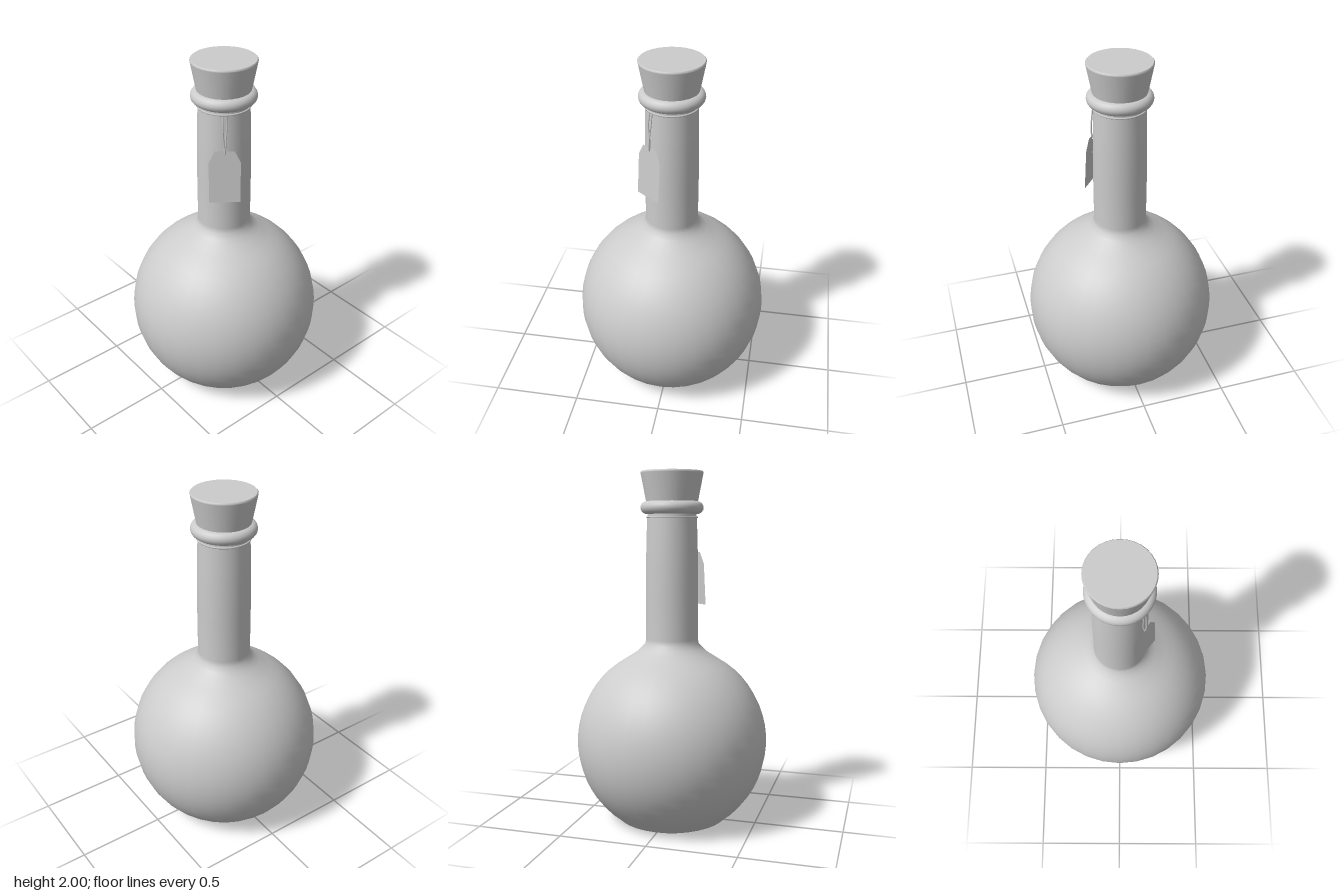
import * as THREE from 'three';

const SEGMENTS = 32;
const grey = new THREE.MeshStandardMaterial({ color: 0xcccccc });
const thin = new THREE.MeshStandardMaterial({ color: 0xcccccc, side: THREE.DoubleSide });
const red = new THREE.MeshStandardMaterial({ color: 0x8f1f17 });

// Repeating a point in a profile keeps that edge sharp.
function lathe(name, points, material = grey) {
  const profile = points.map(([r, y]) => new THREE.Vector2(r, y));
  const mesh = new THREE.Mesh(new THREE.LatheGeometry(profile, SEGMENTS), material);
  mesh.name = name;
  return mesh;
}

// Profile points on a sphere centred at y = 0.46, between two heights
function bulb(radius, y0, y1, steps) {
  const a0 = Math.asin((y0 - 0.46) / radius);
  const a1 = Math.asin((y1 - 0.46) / radius);
  return Array.from({ length: steps + 1 }, (_, i) => {
    const a = a0 + ((a1 - a0) * i) / steps;
    return [radius * Math.cos(a), 0.46 + radius * Math.sin(a)];
  });
}

function torus(name, radius, tube, y, sides) {
  const mesh = new THREE.Mesh(new THREE.TorusGeometry(radius, tube, sides, 48), grey);
  mesh.name = name;
  mesh.rotation.x = Math.PI / 2;
  mesh.position.y = y;
  return mesh;
}

// Paper tag hanging on a string; local +z points away from the neck
function createTag() {
  const group = new THREE.Group();
  group.name = 'hangingTag';
  group.rotation.y = 0.9;

  const shape = new THREE.Shape();
  [[-0.085, -0.3], [0.085, -0.3], [0.085, -0.065], [0.052, 0], [-0.052, 0], [-0.085, -0.065]]
    .forEach(([x, y], i) => (i ? shape.lineTo(x, y) : shape.moveTo(x, y)));
  shape.closePath();
  const hole = new THREE.Path();
  hole.absarc(0, -0.018, 0.008, 0, Math.PI * 2, true);
  shape.holes.push(hole);
  const tag = new THREE.Mesh(new THREE.ShapeGeometry(shape, 8), thin);
  tag.name = 'tag';
  tag.position.set(0, 1.55, 0.159);
  tag.rotation.x = -0.06;
  group.add(tag);

  // Two strands that pass through the hole, before and behind the tag
  for (const side of [-1, 1]) {
    const path = new THREE.CatmullRomCurve3([
      new THREE.Vector3(side * 0.009, 1.745, 0.147),
      new THREE.Vector3(side * 0.01, 1.68, 0.156),
      new THREE.Vector3(side * 0.006, 1.61, 0.159 + side * 0.005),
      new THREE.Vector3(side * 0.003, 1.56, 0.16 + side * 0.006),
      new THREE.Vector3(0, 1.532, 0.16),
    ]);
    const strand = new THREE.Mesh(new THREE.TubeGeometry(path, 20, 0.004, 6), grey);
    strand.name = 'stringStrand';
    group.add(strand);
  }
  return group;
}

export function createModel() {
  const model = new THREE.Group();
  model.name = 'corkedFlask';

  // Round body, shoulder and straight neck
  model.add(lathe('flask', [
    [0.28, 0], [0.303, 0.001], [0.318, 0.008],
    ...bulb(0.55, 0.02, 0.94, 18),
    [0.205, 0.98], [0.178, 1.005], [0.155, 1.03], [0.149, 1.06],
    [0.149, 1.3], [0.148, 1.48], [0.144, 1.65], [0.139, 1.76], [0.139, 1.82],
  ]));

  // Hollow underside: a raised disc surrounded by the coloured contents
  model.add(lathe('baseDisc', [[0, 0.03], [0.2, 0.03]]));
  model.add(lathe('liquid', [
    [0.2, 0.03], [0.282, 0.002], [0.282, 0.002],
    ...bulb(0.53, 0.04, 0.7, 12),
    [0.474, 0.7], [0.474, 0.7], [0, 0.7],
  ], red));

  // Lip around the mouth
  const lip = torus('lip', 0.14, 0.038, 1.8, 16);
  lip.scale.z = 0.95;
  model.add(lip);

  // Tapered stopper with a softened upper edge
  model.add(lathe('stopper', [
    [0, 1.76], [0.132, 1.76], [0.132, 1.76],
    [0.176, 1.988], [0.177, 1.994], [0.172, 2], [0.172, 2], [0, 2],
  ]));

  // String tied under the lip
  model.add(torus('stringLoop', 0.142, 0.005, 1.747, 6));
  model.add(createTag());
  return model;
}
